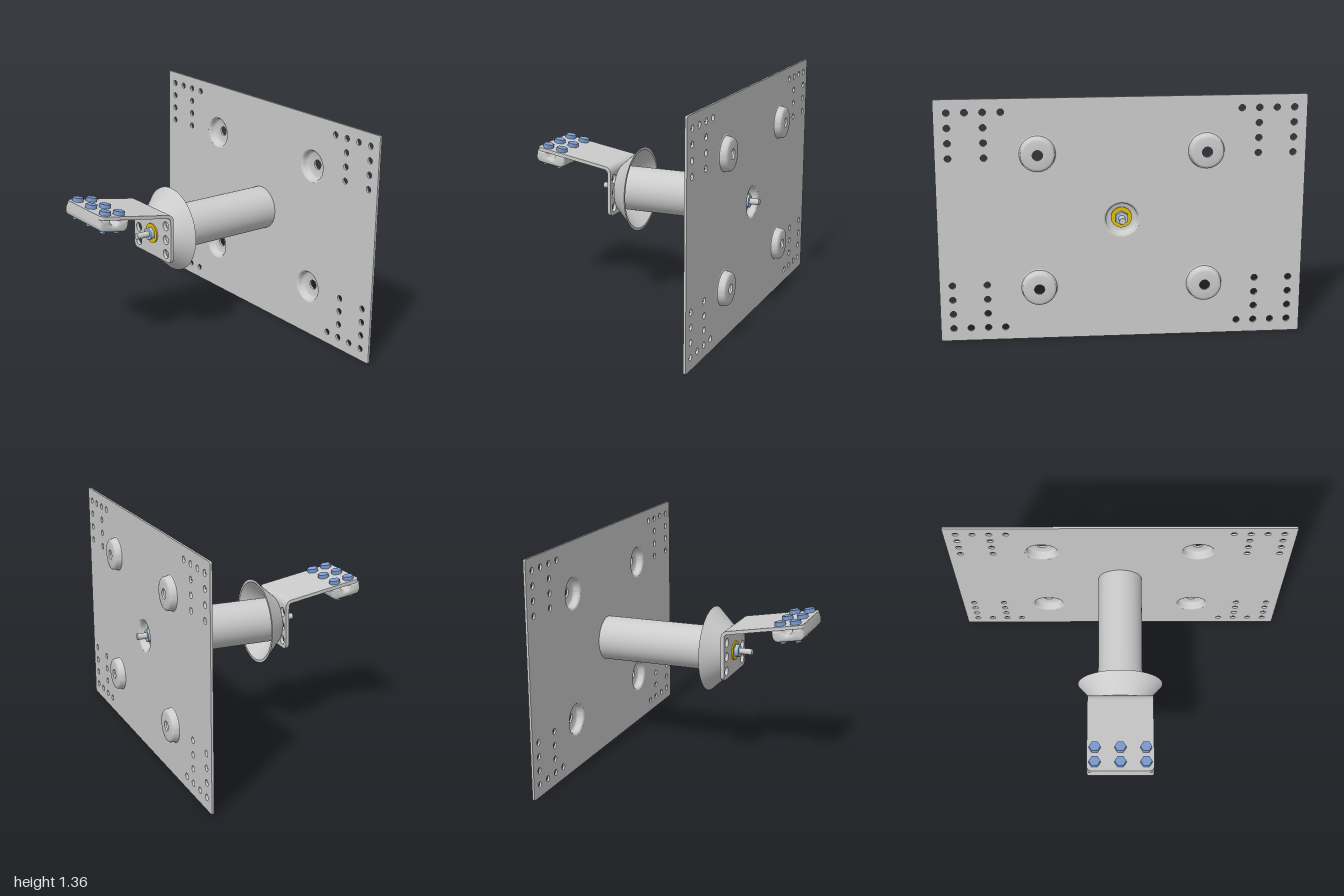
import * as THREE from 'three';
import { toCreasedNormals } from 'three/addons/utils/BufferGeometryUtils.js';

const mat = (color, side = THREE.FrontSide) => new THREE.MeshStandardMaterial({ color, side });
const grey = mat(0xcccccc), yellow = mat(0xe0bf10), blue = mat(0x7f9fd4), paleBlue = mat(0xa9c4e4);
const AXIS_Y = 0.68, HALF_W = 0.19;

function add(parent, name, geo, material = grey, x = 0, y = 0, z = 0) {
  const mesh = new THREE.Mesh(geo, material);
  mesh.name = name;
  mesh.position.set(x, y, z);
  parent.add(mesh);
  return mesh;
}

const circle = (x, y, r) => new THREE.Path().absarc(x, y, r, 0, Math.PI * 2, true);

// Rectangle with its own radius at the bottom and top corners
function plateShape(x0, y0, x1, y1, rb, rt) {
  const s = new THREE.Shape();
  s.moveTo(x0 + rb, y0);
  s.lineTo(x1 - rb, y0);
  if (rb) s.absarc(x1 - rb, y0 + rb, rb, -Math.PI / 2, 0);
  s.lineTo(x1, y1 - rt);
  if (rt) s.absarc(x1 - rt, y1 - rt, rt, 0, Math.PI / 2);
  s.lineTo(x0 + rt, y1);
  if (rt) s.absarc(x0 + rt, y1 - rt, rt, Math.PI / 2, Math.PI);
  s.lineTo(x0, y0 + rb);
  if (rb) s.absarc(x0 + rb, y0 + rb, rb, Math.PI, Math.PI * 1.5);
  return s;
}

const extrude = (shape, depth, options = {}) => toCreasedNormals(
  new THREE.ExtrudeGeometry(shape, { depth, bevelEnabled: false, curveSegments: 16, ...options }), 0.6);

const lathe = (points) => toCreasedNormals(
  new THREE.LatheGeometry(points.map(([r, y]) => new THREE.Vector2(r, y)), 64), 0.7);

// Cylinder or prism lying along z between z0 and z1
function rod(parent, name, r, z0, z1, material, sides = 32) {
  const geo = new THREE.CylinderGeometry(r, r, z1 - z0, sides).rotateX(Math.PI / 2);
  return add(parent, name, geo, material, 0, AXIS_Y, (z0 + z1) / 2);
}

// Pressed dish: inner skin going down, then outer skin coming back up
function dishGeometry(hole) {
  return lathe([
    [0.1, 0], [0.094, -0.002], [0.09, -0.007], [0.087, -0.014], [0.085, -0.032], [0.081, -0.039], [0.073, -0.043],
    [hole, -0.044], [hole, -0.056], [0.076, -0.056], [0.086, -0.053], [0.092, -0.046],
    [0.095, -0.022], [0.098, -0.015], [0.105, -0.0125], [0.105, 0], [0.1, 0],
  ]);
}

export function createModel() {
  const model = new THREE.Group();
  model.name = 'mountingPlateWithClampArm';

  // Base plate with corner hole patterns and openings for the dishes
  const base = plateShape(-1, 0, 1, 1.36, 0.012, 0.012);
  const dishSpots = [];
  for (const sx of [-1, 1]) for (const sy of [-1, 1]) {
    const hole = (x, dy) => base.holes.push(circle(sx * x, AXIS_Y + sy * dy, 0.018));
    for (const x of [0.93, 0.835, 0.74, 0.645]) hole(x, 0.608);
    for (const x of [0.93, 0.74]) for (const dy of [0.525, 0.442, 0.359]) hole(x, dy);
    dishSpots.push([sx * 0.455, AXIS_Y + sy * 0.378]);
  }
  for (const [x, y] of [...dishSpots, [0, AXIS_Y]]) base.holes.push(circle(x, y, 0.1));
  add(model, 'basePlate', extrude(base, 0.0125), grey, 0, 0, -0.6245);

  // Four dishes pressed backwards, one in the middle pressed forwards
  const dish = dishGeometry(0.028);
  for (const [x, y] of dishSpots) add(model, 'pressedDish', dish, grey, x, y, -0.612).rotation.x = Math.PI / 2;
  add(model, 'centreDish', dishGeometry(0.018), grey, 0, AXIS_Y, -0.6245).rotation.x = -Math.PI / 2;

  // Spacer tube
  add(model, 'spacerTube', new THREE.CylinderGeometry(0.131, 0.131, 0.785, 64, 1, true).rotateX(Math.PI / 2),
    mat(0xcccccc, THREE.DoubleSide), 0, AXIS_Y, -0.2195);

  // Conical cup, open to the back
  add(model, 'coneCup', lathe([
    [0.018, 0.173], [0.135, 0.173], [0.235, 0.07], [0.25, 0.07], [0.145, 0.185], [0.018, 0.185], [0.018, 0.173],
  ]), grey, 0, AXIS_Y, 0).rotation.x = Math.PI / 2;

  // Threaded rod with a washer and nut at each end
  rod(model, 'threadedRod', 0.018, -0.668, 0.315, grey);
  rod(model, 'frontWasher', 0.058, 0.205, 0.213, yellow);
  rod(model, 'frontNut', 0.038, 0.213, 0.236, paleBlue, 6);
  rod(model, 'backWasher', 0.058, -0.589, -0.58, yellow);
  rod(model, 'backNut', 0.038, -0.612, -0.589, paleBlue, 6);

  // Bracket: upright leg with two columns of holes
  const bracket = new THREE.Group();
  bracket.name = 'bracket';
  model.add(bracket);
  const bendY = 0.805, bendZ = 0.225, tilt = THREE.MathUtils.degToRad(10);
  const leg = plateShape(-HALF_W, 0.543, HALF_W, bendY, 0.03, 0);
  for (const x of [-0.14, 0.14]) for (const y of [0.762, 0.677, 0.591]) leg.holes.push(circle(x, y, 0.027));
  leg.holes.push(circle(0, AXIS_Y, 0.018));
  add(bracket, 'bracketLeg', extrude(leg, 0.02), grey, 0, 0, 0.185);

  // Bend between leg and arm (shape x runs along z after turning)
  const bend = new THREE.Shape();
  bend.absarc(0, 0, 0.04, Math.PI, Math.PI / 2 + tilt, true);
  bend.absarc(0, 0, 0.02, Math.PI / 2 + tilt, Math.PI, false);
  const bendGeo = extrude(bend, HALF_W * 2).rotateY(-Math.PI / 2);
  add(bracket, 'bracketBend', bendGeo, grey, HALF_W, bendY, bendZ);

  // Tilted arm: local z runs along the arm, local y is its normal
  const arm = new THREE.Group();
  arm.name = 'tiltedArm';
  arm.position.set(0, bendY, bendZ);
  arm.rotation.x = -tilt;
  bracket.add(arm);
  const armShape = plateShape(-HALF_W, 0, HALF_W, 0.455, 0, 0.03);
  add(arm, 'armPlate', extrude(armShape, 0.02).rotateX(Math.PI / 2), grey, 0, 0.04, 0);

  // Clamp block under the arm end with a half-round channel
  const clamp = new THREE.Shape();
  clamp.moveTo(0.265, 0.02);
  clamp.lineTo(0.265, -0.015);
  clamp.absarc(0.3, -0.015, 0.035, Math.PI, Math.PI * 1.5);
  clamp.absarc(0.42, -0.015, 0.035, -Math.PI / 2, 0);
  clamp.lineTo(0.455, 0.02);
  clamp.lineTo(0.39, 0.02);
  clamp.absarc(0.36, 0.017, 0.028, 0, Math.PI, true);
  clamp.lineTo(0.33, 0.02);
  const bevel = 0.015;
  const clampGeo = extrude(clamp, (HALF_W - bevel) * 2, {
    bevelEnabled: true, bevelSize: bevel, bevelThickness: bevel, bevelOffset: -bevel, bevelSegments: 4,
  }).rotateY(-Math.PI / 2);
  add(arm, 'clampBlock', clampGeo, grey, HALF_W - bevel, 0, 0);

  // Six bolts through arm and clamp
  const head = new THREE.CylinderGeometry(0.033, 0.033, 0.023, 6).rotateY(Math.PI / 6);
  const shank = new THREE.CylinderGeometry(0.016, 0.016, 0.105, 24);
  for (const x of [-0.145, 0, 0.145]) for (const z of [0.313, 0.404]) {
    add(arm, 'boltHead', head, blue, x, 0.0515, z);
    add(arm, 'boltShank', shank, blue, x, -0.0125, z);
  }
  return model;
}
